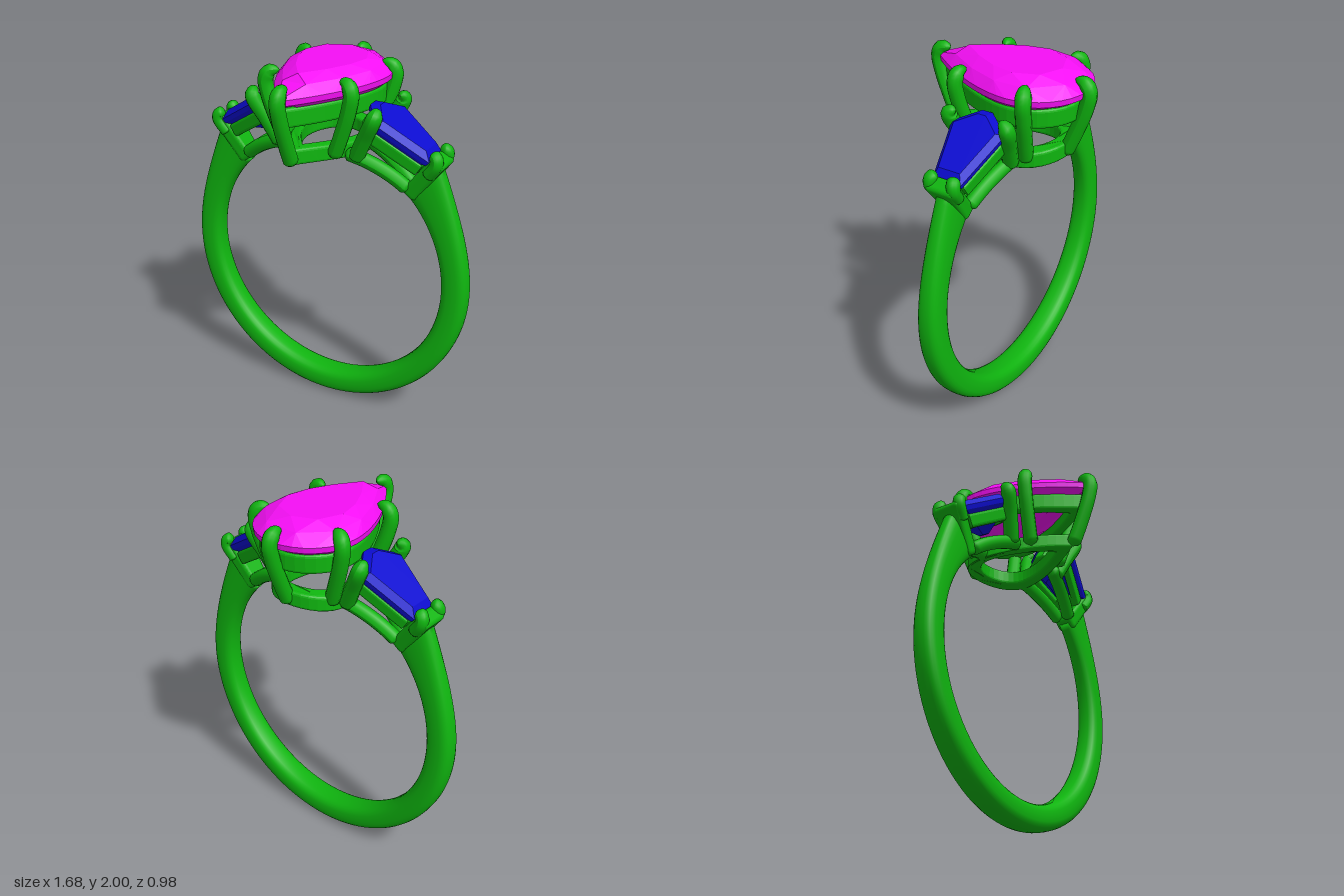
import * as THREE from 'three';
import { RoundedBoxGeometry } from 'three/addons/geometries/RoundedBoxGeometry.js';

const V = (x, y, z) => new THREE.Vector3(x, y, z);
const metal = new THREE.MeshStandardMaterial({ color: 0x0fb40f });
const pink = new THREE.MeshStandardMaterial({ color: 0xf50ff5, flatShading: true });
const blue = new THREE.MeshStandardMaterial({ color: 0x0c0cd0, flatShading: true });

const MID_Y = 0.845, INNER = 0.695, MID_Z = -0.04; // finger hole and band plane

function add(parent, name, geometry, material = metal) {
  const mesh = new THREE.Mesh(geometry, material);
  mesh.name = name;
  parent.add(mesh);
  return mesh;
}

// Skin over a list of equal-length loops, capped at both ends
function loft(loops) {
  const n = loops[0].length, index = [];
  for (let i = 0; i < loops.length - 1; i++) {
    for (let j = 0; j < n; j++) {
      const a = i * n + j, b = i * n + (j + 1) % n;
      index.push(a, a + n, b, b, a + n, b + n);
    }
  }
  const top = (loops.length - 1) * n;
  for (let j = 1; j < n - 1; j++) index.push(0, j, j + 1, top, top + j + 1, top + j);
  const g = new THREE.BufferGeometry().setFromPoints(loops.flat());
  g.setIndex(index);
  g.computeVertexNormals();
  return g;
}

// Round wire along a curve, with rounded ends and a tapered tip
function wire(points, radius, tip = 0.14) {
  const seg = 32, sides = 12;
  const curve = new THREE.CatmullRomCurve3(points);
  const g = new THREE.TubeGeometry(curve, seg, 1, sides);
  const p = g.attributes.position, v = V(0, 0, 0);
  for (let i = 0; i < p.count; i++) {
    const t = Math.floor(i / (sides + 1)) / seg, c = curve.getPointAt(t);
    const r = radius * Math.sqrt(Math.min(1, t / 0.06, (1 - t) / tip));
    v.fromBufferAttribute(p, i).sub(c).multiplyScalar(Math.max(r, 0.001)).add(c);
    p.setXYZ(i, v.x, v.y, v.z);
  }
  g.computeVertexNormals();
  return g;
}

// Pear outline as [x, z]: round at the back, pointed at the front
function pear() {
  const W = 0.285, Z = -0.155, side = [];
  for (let i = 0; i < 12; i++) {
    const s = i / 12;
    side.push([W * (1 - s ** 1.7), Z + 0.605 * s]);
  }
  const back = [];
  for (let i = 1; i < 16; i++) {
    const a = Math.PI * (1 + i / 16);
    back.push([W * Math.cos(a), Z + W * Math.sin(a)]);
  }
  return [...side, [0, 0.45], ...side.map(([x, z]) => [-x, z]).reverse(), ...back];
}

const scaled = (outline, k, cx, cz) => outline.map(([x, z]) => [cx + (x - cx) * k, cz + (z - cz) * k]);
const level = (outline, y) => outline.map(([x, z]) => V(x, y, z));

// Horizontal frame between two outlines, from y = top downwards
function frame(outer, inner, top, height) {
  const bevel = 0.015;
  const shape = new THREE.Shape(outer.map(([x, z]) => new THREE.Vector2(x, z)));
  shape.holes.push(new THREE.Path(inner.map(([x, z]) => new THREE.Vector2(x, z))));
  const g = new THREE.ExtrudeGeometry(shape, {
    depth: height - 2 * bevel, bevelThickness: bevel, bevelSize: bevel, bevelOffset: -bevel, bevelSegments: 3,
  });
  return g.rotateX(Math.PI / 2).translate(0, top - bevel, 0);
}

// Band: grows thicker and narrower towards the shoulders
function band() {
  const loops = [], end = 47;
  for (let i = 0; i <= 96; i++) {
    const deg = -180 - end + (180 + 2 * end) * i / 96, a = deg * Math.PI / 180;
    const rise = Math.max(0, deg, -180 - deg) / end;
    const outer = 0.84 + 0.12 * rise ** 3;
    const mid = (outer + INNER) / 2, half = (outer - INNER) / 2;
    const width = 0.08 - 0.028 * (Math.sin(a) + 1) / 1.73;
    const loop = [];
    for (let j = 0; j < 24; j++) {
      const b = j / 24 * Math.PI * 2, c = Math.cos(b), s = Math.sin(b);
      const r = mid + half * Math.sign(c) * Math.abs(c) ** 0.75;
      loop.push(V(r * Math.cos(a), MID_Y + r * Math.sin(a), MID_Z + width * Math.sign(s) * Math.abs(s) ** 0.75));
    }
    loops.push(loop);
  }
  return loft(loops);
}

function centreSetting() {
  const g = new THREE.Group();
  g.name = 'centreSetting';
  const outline = pear(), cz = -0.07;
  const ring = (k) => scaled(outline, k, 0, cz);
  // Merging groups of corners gives broad triangular facets
  const merged = (k, shift) => {
    const o = ring(k), n = o.length;
    return o.map((_, j) => o[(Math.round((j - shift) / 4) * 4 + shift + n) % n]);
  };
  add(g, 'centreStone', loft([
    level(ring(0.02), 1.675), level(merged(0.55, 2), 1.785), level(ring(0.99), 1.885),
    level(ring(1), 1.915), level(merged(0.86, 2), 1.965), level(merged(0.62, 0), 2),
  ]), pink);

  add(g, 'upperRail', frame(ring(0.91), ring(0.72), 1.86, 0.1));

  // Lower rail bends to follow the finger
  const lower = frame(ring(0.76), ring(0.54), 1.625, 0.085);
  const p = lower.attributes.position;
  for (let i = 0; i < p.count; i++) p.setY(i, p.getY(i) - p.getX(i) ** 2 / 1.5);
  lower.computeVertexNormals();
  add(g, 'lowerRail', lower);

  // Claws: [x, z, outward x, outward z]
  const claws = [[0, -0.445, 0, -1], [0, 0.44, 0, 1]];
  for (const s of [-1, 1]) claws.push([0.275 * s, -0.25, 0.9 * s, -0.4], [0.24 * s, 0.165, 0.9 * s, 0.25]);
  for (const [x, z, nx, nz] of claws) {
    const at = (d, y) => V(x + nx * d, y, z + nz * d);
    add(g, 'centreClaw', wire([
      at(-0.12, 1.545), at(-0.07, 1.66), at(-0.01, 1.82), at(0.005, 1.91), at(-0.02, 1.952), at(-0.075, 1.962),
    ], 0.04));
  }
  return g;
}

// One shoulder on the +x side, symmetric about its own z = 0
function shoulder() {
  const g = new THREE.Group();
  g.name = 'shoulder';

  // Tilted side stone and the frame beneath it
  const tilt = new THREE.Group();
  tilt.name = 'sideStoneSetting';
  tilt.position.set(0.275, 1.83, 0);
  tilt.rotation.z = -0.57;
  g.add(tilt);
  const outline = [[0, -0.03], [0.1, -0.155], [0.42, -0.08], [0.42, 0.08], [0.1, 0.155], [0, 0.03]];
  const ring = (k) => scaled(outline, k, 0.19, 0);
  add(tilt, 'sideStone', loft([
    level(ring(0.15), -0.185), level(ring(0.65), -0.11), level(ring(0.98), -0.05),
    level(ring(1), -0.025), level(ring(0.78), 0.005),
  ]), blue);
  add(tilt, 'sideRail', frame(ring(0.92), ring(0.62), -0.07, 0.075));

  // Claws and lower rails, front and back
  for (const s of [-1, 1]) {
    add(g, 'sideClaw', wire([
      V(0.22, 1.53, 0.105 * s), V(0.29, 1.67, 0.14 * s), V(0.35, 1.785, 0.168 * s), V(0.355, 1.81, 0.155 * s), V(0.35, 1.82, 0.125 * s),
    ], 0.042));
    const rail = [];
    for (let i = 0; i <= 4; i++) {
      const a = (77 - 29 * i / 4) * Math.PI / 180, r = INNER + 0.04;
      rail.push(V(r * Math.cos(a), MID_Y + r * Math.sin(a), s * (0.115 - 0.085 * i / 4)));
    }
    add(g, 'lowerSideRail', wire(rail, 0.038, 0.06));
    add(g, 'endClaw', wire([V(0.6, 1.5, 0.055 * s), V(0.65, 1.575, 0.068 * s), V(0.645, 1.605, 0.064 * s), V(0.615, 1.615, 0.05 * s)], 0.034));
  }

  // End bar, wider at the top
  const bar = new RoundedBoxGeometry(0.085, 0.29, 0.17, 4, 0.025);
  const p = bar.attributes.position;
  for (let i = 0; i < p.count; i++) p.setZ(i, p.getZ(i) * (0.8 + p.getY(i) * 1.3));
  bar.computeVertexNormals();
  const end = add(g, 'endBar', bar);
  end.position.set(0.575, 1.475, 0);
  end.rotation.z = -0.64;
  return g;
}

export function createModel() {
  const model = new THREE.Group();
  model.name = 'threeStoneRing';
  add(model, 'band', band());
  model.add(centreSetting());
  for (const [name, turn] of [['leftShoulder', 0], ['rightShoulder', Math.PI]]) {
    const s = shoulder();
    s.name = name;
    s.position.z = MID_Z;
    s.rotation.y = turn;
    model.add(s);
  }
  return model;
}
